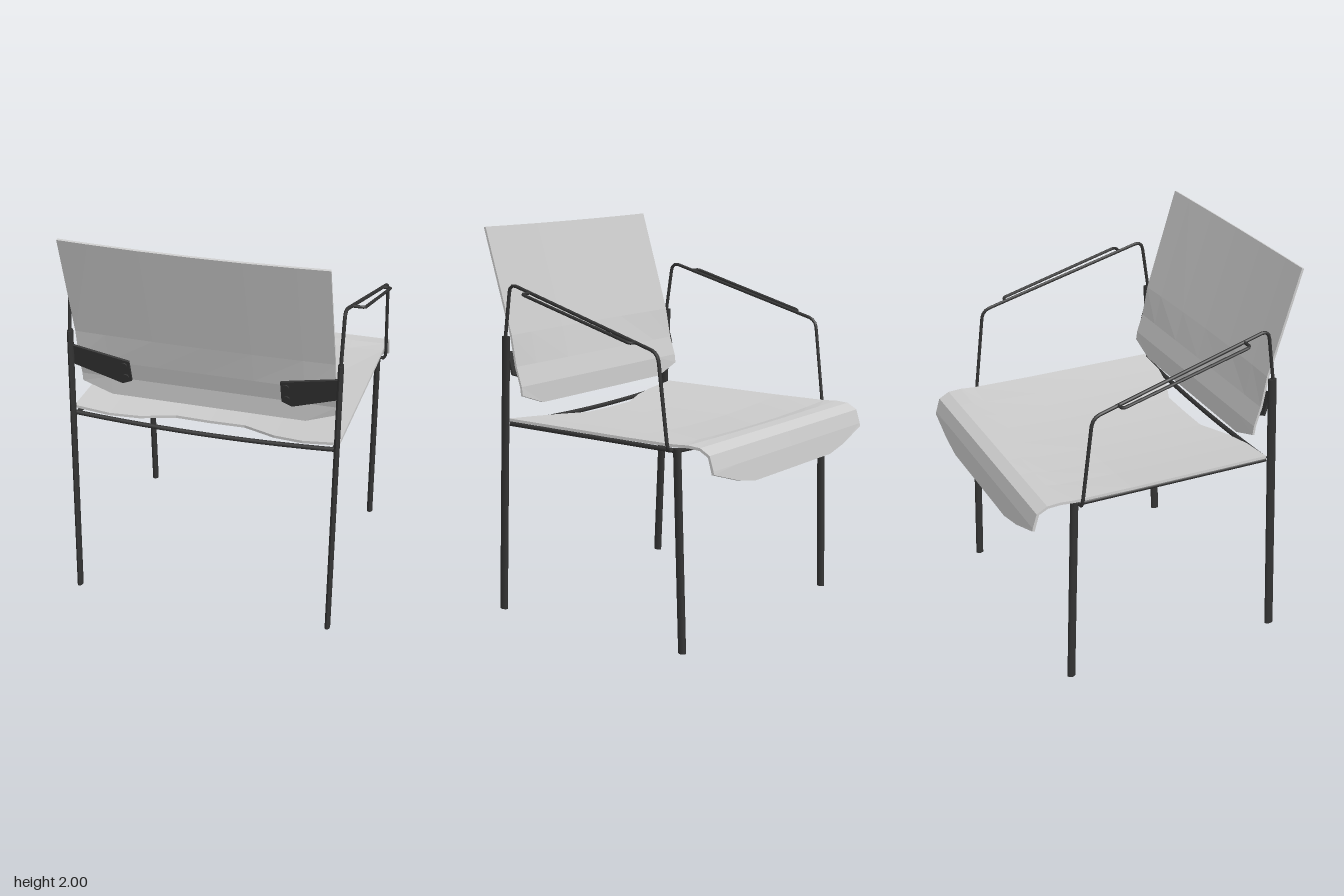
import * as THREE from 'three';

const V = (x, y, z) => new THREE.Vector3(x, y, z);
const panelMat = new THREE.MeshStandardMaterial({ color: 0xcccccc, flatShading: true, side: THREE.DoubleSide });
const frameMat = new THREE.MeshStandardMaterial({ color: 0x333333 });

function add(parent, name, geometry, material) {
  const mesh = new THREE.Mesh(geometry, material);
  mesh.name = name;
  parent.add(mesh);
  return mesh;
}

// Thin sheet over a grid of columns and rows, thickened against its normal
function sheet(cols, rows, point, thickness) {
  const nu = cols.length, nv = rows.length, n = nu * nv;
  const pos = [], index = [];
  rows.forEach((r, j) => cols.forEach((x) => pos.push(...point(x, r, j))));
  for (let j = 0; j < nv - 1; j++) {
    for (let i = 0; i < nu - 1; i++) {
      const a = j * nu + i, b = a + 1, c = a + nu, d = c + 1;
      index.push(a, b, d, a, d, c);
    }
  }
  const g = new THREE.BufferGeometry();
  g.setAttribute('position', new THREE.Float32BufferAttribute(pos, 3));
  g.setIndex(index);
  g.computeVertexNormals();
  const nor = g.attributes.normal.array;
  const all = pos.concat(pos.map((p, k) => p - nor[k] * thickness));
  const faces = index.slice();
  for (let k = 0; k < index.length; k += 3) {
    faces.push(index[k] + n, index[k + 2] + n, index[k + 1] + n);
  }
  // rim, walked anticlockwise
  const rim = [];
  for (let i = 0; i < nu - 1; i++) rim.push(i);
  for (let j = 0; j < nv - 1; j++) rim.push(j * nu + nu - 1);
  for (let i = nu - 1; i > 0; i--) rim.push((nv - 1) * nu + i);
  for (let j = nv - 1; j > 0; j--) rim.push(j * nu);
  rim.forEach((a, k) => {
    const b = rim[(k + 1) % rim.length];
    faces.push(a, a + n, b + n, a, b + n, b);
  });
  g.deleteAttribute('normal');
  g.setAttribute('position', new THREE.Float32BufferAttribute(all, 3));
  g.setIndex(faces);
  g.computeVertexNormals();
  return g;
}

// Wire with rounded corners through a list of points
function wire(points, radius, bend = 0.03) {
  const path = new THREE.CurvePath();
  let last = points[0];
  for (let i = 1; i < points.length - 1; i++) {
    const p = points[i];
    const toward = (q) => p.clone().add(q.clone().sub(p).setLength(Math.min(bend, p.distanceTo(q) * 0.45)));
    const a = toward(points[i - 1]), b = toward(points[i + 1]);
    path.add(new THREE.LineCurve3(last, a));
    path.add(new THREE.QuadraticBezierCurve3(a, p, b));
    last = b;
  }
  path.add(new THREE.LineCurve3(last, points[points.length - 1]));
  return new THREE.TubeGeometry(path, points.length * 16, radius, 8, false);
}

// Oval leg from foot to top
function leg(foot, top, rx, rz) {
  const g = new THREE.CylinderGeometry(1, 1, top.y - foot.y, 12);
  g.scale(rx, 1, rz);
  const p = g.attributes.position, h = top.y - foot.y;
  for (let i = 0; i < p.count; i++) {
    const t = p.getY(i) / h + 0.5;
    p.setXYZ(i, p.getX(i) + THREE.MathUtils.lerp(foot.x, top.x, t), foot.y + t * h,
      p.getZ(i) + THREE.MathUtils.lerp(foot.z, top.z, t));
  }
  g.computeVertexNormals();
  return g;
}

function makeSeat() {
  const cols = [-0.685, -0.5, -0.35, -0.18, 0, 0.18, 0.35, 0.5, 0.685];
  const rows = [[0.55, 1.037], [0.2, 1.037], [-0.2, 1.037], [-0.5, 1.04], [-0.575, 1.046],
    [-0.645, 1.042], [-0.7, 1.012], [-0.722, 0.94], [-0.738, 0.835]];
  return sheet(cols, rows, (x, [z, y], j) => {
    const t = Math.abs(x) / 0.685;
    const sag = 0.038 * (1 - t * t) * [1, 1, 0.9, 0.5, 0.15, 0, 0, 0, 0][j];
    // notched rear edge and rounded corners of the front lip
    if (j === 0) z -= Math.abs(x) < 0.2 ? 0.1 : Math.abs(x) < 0.4 ? 0.03 : 0;
    if (j === 8) {
      const lift = t > 0.9 ? 0.09 : t > 0.65 ? 0.03 : 0;
      y += lift;
      z += lift * 0.14;
    }
    return [x, y - sag, z];
  }, 0.014);
}

function makeBackrest() {
  const cols = [-0.655, -0.5, -0.25, 0, 0.25, 0.5, 0.655];
  const rows = [[0.494, 1.1], [0.5, 1.2], [0.532, 1.3], [0.575, 1.46], [0.738, 2]];
  return sheet(cols, rows, (x, [z, y], j) => {
    const t = Math.abs(x) / 0.655;
    const bow = j > 2 ? 0.014 * t * t : 0;
    if (j === 0 && t > 0.9) y += 0.055;
    return [x, y + (j === 4 ? 0.006 * (t * t - 1) : 0), z - bow];
  }, 0.012);
}

// Frame parts of one side; s = 1 is +x, s = -1 is -x
function makeSide(s) {
  const side = new THREE.Group();
  side.name = s > 0 ? 'leftFrame' : 'rightFrame';
  const P = (x, y, z) => V(s * x, y, z);
  add(side, 'backrestLeg', leg(P(0.675, 0, 0.63), P(0.682, 1.46, 0.563), 0.014, 0.024), frameMat);
  add(side, 'seatFrontLeg', leg(P(0.653, 0, -0.52), P(0.66, 1.015, -0.495), 0.016, 0.021), frameMat);
  add(side, 'sideRail', wire([P(0.662, 1.004, 0.56), P(0.662, 1.004, -0.495)], 0.012), frameMat);

  // arm wire and the narrow armrest loop beside it
  add(side, 'armWire', wire([P(0.675, 1.008, -0.475), P(0.708, 1.008, -0.475), P(0.71, 1.47, -0.42),
    P(0.685, 1.73, 0.525), P(0.682, 1.45, 0.568)], 0.009, 0.045), frameMat);
  add(side, 'armrestLoop', wire([P(0.69, 1.692, 0.39), P(0.75, 1.692, 0.39),
    P(0.75, 1.508, -0.285), P(0.705, 1.508, -0.285)], 0.008, 0.02), frameMat);

  // plate joining the backrest to the rear leg, leaning with the backrest
  const outline = [[0.68, 1.39], [0.385, 1.325], [0.385, 1.2], [0.435, 1.175], [0.68, 1.265]];
  const shape = new THREE.Shape(outline.map(([x, y]) => new THREE.Vector2(s * x, y - 1.3)));
  const bracket = new THREE.Group();
  bracket.name = 'backrestBracket';
  bracket.position.set(0, 1.3, 0.533);
  bracket.rotation.x = 0.28;
  add(bracket, 'plate', new THREE.ExtrudeGeometry(shape, { depth: 0.012, bevelEnabled: false }), frameMat);
  for (const y of [0, -0.075]) {
    const bolt = add(bracket, 'bolt', new THREE.CylinderGeometry(0.016, 0.016, 0.008, 12), frameMat);
    bolt.rotation.x = Math.PI / 2;
    bolt.position.set(s * 0.412, y, 0.014);
  }
  side.add(bracket);
  return side;
}

export function createModel() {
  const chair = new THREE.Group();
  chair.name = 'armchair';
  add(chair, 'seat', makeSeat(), panelMat);
  add(chair, 'backrest', makeBackrest(), panelMat);
  chair.add(makeSide(1), makeSide(-1));

  // cross rails sagging with the seat
  for (const [name, z] of [['rearRail', 0.565], ['frontRail', -0.495]]) {
    const curve = new THREE.QuadraticBezierCurve3(V(-0.675, 1.006, z), V(0, 0.962, z), V(0.675, 1.006, z));
    add(chair, name, new THREE.TubeGeometry(curve, 24, 0.012, 8, false), frameMat);
  }
  return chair;
}
